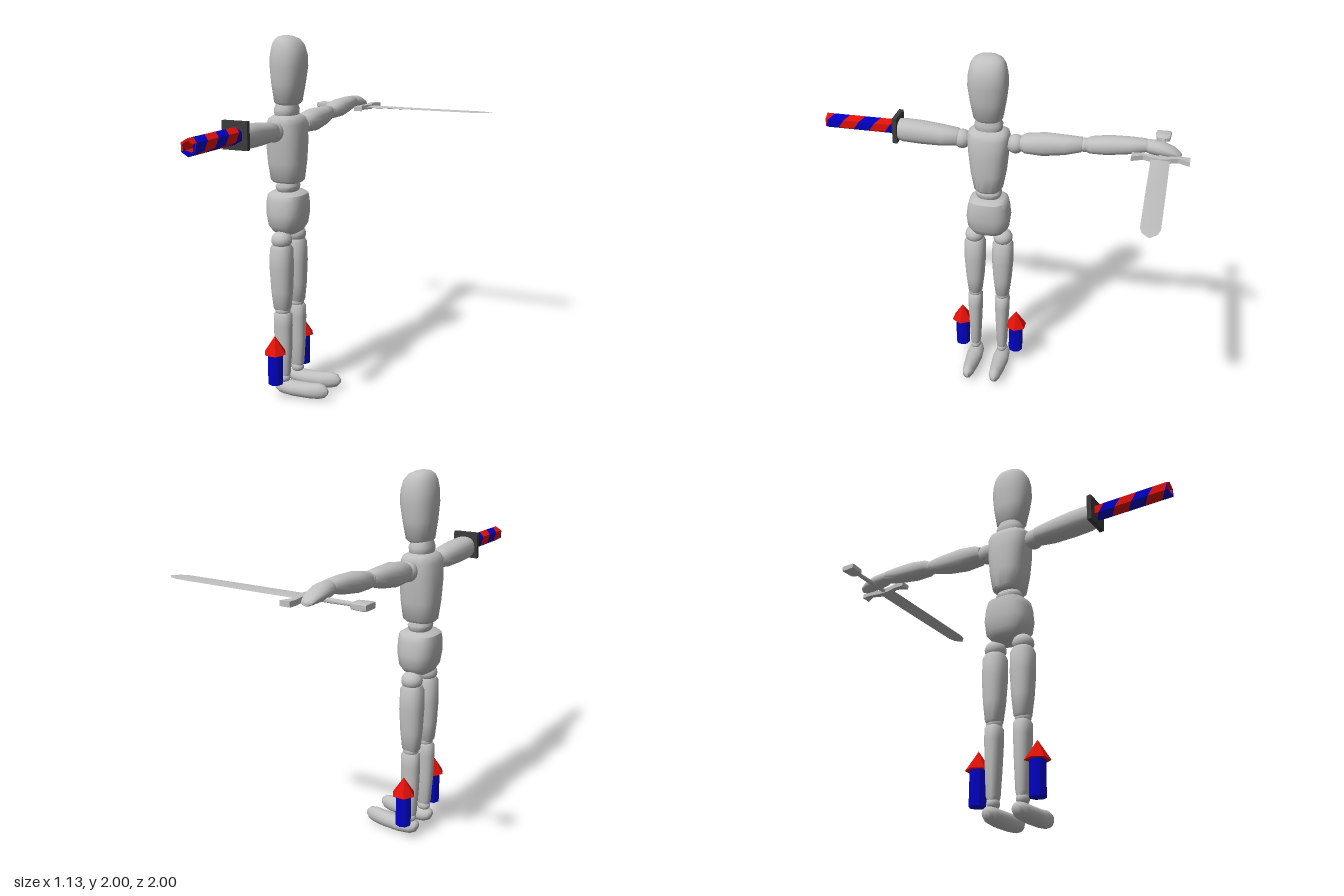
import * as THREE from 'three';
import { toCreasedNormals } from 'three/addons/utils/BufferGeometryUtils.js';

const CX = -0.307, CZ = 0.074; // body axis

export function createModel() {
  const model = new THREE.Group();
  model.name = 'armedMannequin';
  const paint = (name, color) => {
    const m = new THREE.MeshStandardMaterial({ color });
    m.name = name;
    return m;
  };
  const grey = paint('grey', 0xc0c0c0);
  const red = paint('red', 0xe01008);
  const blue = paint('blue', 0x0000c4);
  const dark = paint('darkGrey', 0x3c3c3c);
  red.side = blue.side = THREE.DoubleSide;

  const add = (name, geo, mat, x = 0, y = 0, z = 0) => {
    const mesh = new THREE.Mesh(geo, mat);
    mesh.name = name;
    mesh.position.set(x, y, z);
    model.add(mesh);
    return mesh;
  };

  // Closed loft along an axis; each section is [t, ru, rv, cu, cv].
  // (u, v) is (y, z) on axis x, (z, x) on axis y and (x, y) on axis z.
  // power below 1 makes the sections boxier.
  const loft = (axis, sections, cu0, cv0, power = 0.85, n = 20) => {
    const a = 'xyz'.indexOf(axis), pos = [], idx = [];
    const point = (t, u, v) => {
      const p = [0, 0, 0];
      p[a] = t; p[(a + 1) % 3] = u; p[(a + 2) % 3] = v;
      pos.push(...p);
    };
    const bend = (c) => Math.sign(c) * Math.abs(c) ** power;
    for (const [t, ru, rv, cu = cu0, cv = cv0] of sections)
      for (let j = 0; j < n; j++) {
        const q = (j / n) * Math.PI * 2;
        point(t, cu + ru * bend(Math.cos(q)), cv + rv * bend(Math.sin(q)));
      }
    const last = sections.length - 1, base = (last + 1) * n;
    for (const s of [sections[0], sections[last]]) point(s[0], s[3] ?? cu0, s[4] ?? cv0);
    for (let j = 0; j < n; j++) {
      const k = (j + 1) % n;
      for (let i = 0; i < last; i++)
        idx.push(i * n + j, i * n + k, i * n + n + k, i * n + j, i * n + n + k, i * n + n + j);
      idx.push(base, k, j, base + 1, last * n + j, last * n + k);
    }
    const g = new THREE.BufferGeometry();
    g.setAttribute('position', new THREE.Float32BufferAttribute(pos, 3));
    g.setIndex(idx);
    return toCreasedNormals(g, 0.75);
  };
  const joint = (name, x, y, z, rx, ry, rz) =>
    add(name, new THREE.SphereGeometry(1, 20, 12), grey, x, y, z).scale.set(rx, ry, rz);

  // Head, neck and trunk
  add('head', loft('y', [
    [1.64, 0.065, 0.055, CZ, -0.297], [1.655, 0.08, 0.07, CZ, -0.297], [1.75, 0.098, 0.084, CZ, -0.294],
    [1.84, 0.109, 0.094, CZ, -0.29], [1.9, 0.106, 0.092, CZ, -0.29], [1.95, 0.095, 0.08, CZ, -0.292],
    [1.98, 0.078, 0.06, CZ, -0.298], [1.995, 0.05, 0.035, CZ, -0.304], [2, 0.02, 0.015, CZ, -0.306],
  ], CZ, CX), grey);
  add('neck', loft('y', [[1.56, 0.06, 0.05], [1.59, 0.076, 0.06], [1.615, 0.078, 0.062], [1.65, 0.062, 0.052]], CZ, CX), grey);
  add('chest', loft('y', [
    [1.22, 0.066, 0.075], [1.235, 0.08, 0.09], [1.33, 0.098, 0.1], [1.45, 0.11, 0.106],
    [1.54, 0.117, 0.096], [1.57, 0.11, 0.085], [1.585, 0.09, 0.06],
  ], CZ, CX, 0.75), grey);
  add('waist', loft('y', [[1.16, 0.055, 0.045], [1.18, 0.07, 0.058], [1.2, 0.074, 0.062], [1.23, 0.06, 0.045]], CZ, CX), grey);
  add('pelvis', loft('y', [
    [0.935, 0.06, 0.05], [0.95, 0.09, 0.075], [0.985, 0.118, 0.095], [1.05, 0.126, 0.106],
    [1.12, 0.117, 0.107], [1.155, 0.108, 0.102], [1.17, 0.09, 0.08],
  ], CZ, CX, 0.75), grey);

  // Legs and the arrows beside them
  for (const [side, s] of [['left', 1], ['right', -1]]) {
    const z = CZ + s * 0.083;
    joint(side + 'Hip', CX, 0.91, z, 0.058, 0.05, 0.056);
    add(side + 'Thigh', loft('y', [
      [0.505, 0.03, 0.038], [0.52, 0.041, 0.05], [0.62, 0.053, 0.06], [0.75, 0.062, 0.066],
      [0.86, 0.061, 0.062], [0.883, 0.05, 0.05],
    ], z, CX - 0.002), grey);
    joint(side + 'Knee', CX, 0.507, z, 0.043, 0.035, 0.04);
    add(side + 'Shin', loft('y', [
      [0.12, 0.025, 0.035], [0.14, 0.031, 0.04], [0.28, 0.037, 0.05], [0.42, 0.043, 0.054],
      [0.48, 0.044, 0.052], [0.495, 0.036, 0.042],
    ], z, CX), grey);
    joint(side + 'Ankle', CX, 0.105, z, 0.038, 0.032, 0.031);
    add(side + 'Foot', loft('x', [
      [-0.362, 0.012, 0.015, 0.06], [-0.35, 0.03, 0.032, 0.055], [-0.32, 0.04, 0.044, 0.05],
      [-0.25, 0.043, 0.05, 0.047], [-0.15, 0.045, 0.042, 0.05], [-0.09, 0.046, 0.035, 0.057],
      [-0.055, 0.037, 0.027, 0.06], [-0.035, 0.014, 0.01, 0.06],
    ], 0.05, z - 0.003, 1), grey);

    const az = CZ + s * 0.168;
    add(side + 'ArrowShaft', toCreasedNormals(new THREE.CylinderGeometry(0.043, 0.043, 0.18, 8), 0.3), blue, -0.314, 0.19, az);
    const head = add(side + 'ArrowHead', toCreasedNormals(new THREE.ConeGeometry(0.066, 0.1, 6), 0.3), red, -0.314, 0.33, az);
    head.rotation.y = Math.PI / 2;
  }

  // Left arm, ending at the square hand guard
  joint('leftShoulder', CX, 1.508, 0.222, 0.052, 0.053, 0.05);
  add('leftArm', loft('z', [
    [0.235, 0.04, 0.034, CX, 1.52], [0.25, 0.053, 0.046, CX, 1.517], [0.33, 0.063, 0.055, CX, 1.517],
    [0.45, 0.067, 0.062, CX, 1.523], [0.55, 0.065, 0.062, CX, 1.527], [0.58, 0.06, 0.056, CX, 1.53],
  ], CX, 1.52), grey);
  add('handGuard', new THREE.BoxGeometry(0.142, 0.142, 0.025), dark, -0.311, 1.541, 0.59);

  // Hollow hexagonal rod with a red and a blue spiral stripe
  const rod = { red: [], blue: [] };
  const Z0 = 0.595, Z1 = 1, PITCH = 0.18, STEP = Math.PI / 3;
  const corner = (k, r, z) => {
    const q = Math.PI / 6 + k * STEP - STEP;
    return [CX + r * Math.cos(q), 1.541 + r * Math.sin(q), z];
  };
  const quad = (list, a, b, c, d) => list.push(...a, ...b, ...c, ...a, ...c, ...d);
  const edge = (k, m) => {
    const turn = (k * STEP - STEP / 2 - STEP / 2 + Math.PI / 6 - Math.PI / 2) / (Math.PI * 2);
    return THREE.MathUtils.clamp(Z1 - PITCH * (turn + m / 2 + 0.25), Z0, Z1);
  };
  for (let k = 0; k < 6; k++) {
    for (let m = -3; m < 7; m++) {
      const list = m % 2 ? rod.red : rod.blue;
      const [a0, a1, b0, b1] = [edge(k, m), edge(k, m + 1), edge(k + 1, m), edge(k + 1, m + 1)];
      if (a0 === a1 && b0 === b1) continue;
      for (const r of [0.043, 0.031])
        quad(list, corner(k, r, a1), corner(k + 1, r, b1), corner(k + 1, r, b0), corner(k, r, a0));
    }
    const rim = k < 3 && k > 0 || k === 3 ? rod.red : rod.blue;
    quad(rim, corner(k, 0.031, Z1), corner(k, 0.043, Z1), corner(k + 1, 0.043, Z1), corner(k + 1, 0.031, Z1));
  }
  for (const [name, mat] of [['red', red], ['blue', blue]]) {
    const g = new THREE.BufferGeometry();
    g.setAttribute('position', new THREE.Float32BufferAttribute([].concat(rod[name]), 3));
    g.computeVertexNormals();
    add(name + 'RodStripe', g, mat);
  }

  // Right arm and hand
  joint('rightShoulder', CX, 1.508, -0.075, 0.052, 0.053, 0.05);
  add('rightUpperArm', loft('z', [
    [-0.445, 0.03, 0.03, CX, 1.54], [-0.43, 0.042, 0.04, CX, 1.54], [-0.35, 0.055, 0.052, CX, 1.53],
    [-0.23, 0.064, 0.062, CX, 1.522], [-0.13, 0.06, 0.052, CX, 1.517], [-0.105, 0.044, 0.038, CX, 1.517],
  ], CX, 1.52), grey);
  joint('rightElbow', CX, 1.541, -0.45, 0.04, 0.038, 0.03);
  add('rightForearm', loft('z', [
    [-0.78, 0.034, 0.026, CX, 1.573], [-0.765, 0.042, 0.034, CX, 1.572], [-0.68, 0.051, 0.044, CX, 1.563],
    [-0.57, 0.058, 0.05, CX, 1.553], [-0.48, 0.052, 0.043, CX, 1.545], [-0.455, 0.036, 0.034, CX, 1.542],
  ], CX, 1.55), grey);
  add('rightHand', loft('z', [
    [-0.955, 0.012, 0.008, CX, 1.533], [-0.945, 0.03, 0.014, CX, 1.537], [-0.91, 0.043, 0.026, CX, 1.55],
    [-0.85, 0.049, 0.038, CX, 1.562], [-0.79, 0.043, 0.038, CX, 1.568], [-0.755, 0.03, 0.028, CX, 1.572],
  ], CX, 1.55, 1), grey);

  // Sword lying across the right hand
  const SY = 1.535, SZ = -0.85;
  add('swordBlade', loft('x', [
    [-0.23, 0.009, 0.049], [0.1, 0.006, 0.049], [0.48, 0.003, 0.047], [0.525, 0.002, 0.035], [0.56, 0.001, 0.002],
  ], SY, SZ, 1, 4), grey);
  add('swordGrip', loft('x', [[-0.49, 0.01, 0.012], [-0.36, 0.012, 0.015], [-0.24, 0.01, 0.012]], SY, SZ, 1, 10), grey);
  add('swordPommel', loft('x', [
    [-0.567, 0.014, 0.039], [-0.555, 0.017, 0.041], [-0.49, 0.015, 0.036], [-0.475, 0.009, 0.018],
  ], SY, SZ, 0.3, 16), grey);
  // Half outline of the crossguard as (x, distance from the blade axis)
  const half = [[-0.205, 0], [-0.215, 0.035], [-0.235, 0.09], [-0.207, 0.15], [-0.26, 0.15], [-0.262, 0.1], [-0.25, 0.03]];
  const outline = [...half, ...half.slice(1).reverse().map(([x, d]) => [x, -d])];
  const guard = new THREE.ExtrudeGeometry(new THREE.Shape(outline.map(([x, d]) => new THREE.Vector2(x, d))), { depth: 0.026, bevelEnabled: false });
  guard.rotateX(Math.PI / 2);
  add('swordCrossguard', guard, grey, 0, SY + 0.013, SZ);

  return model;
}
